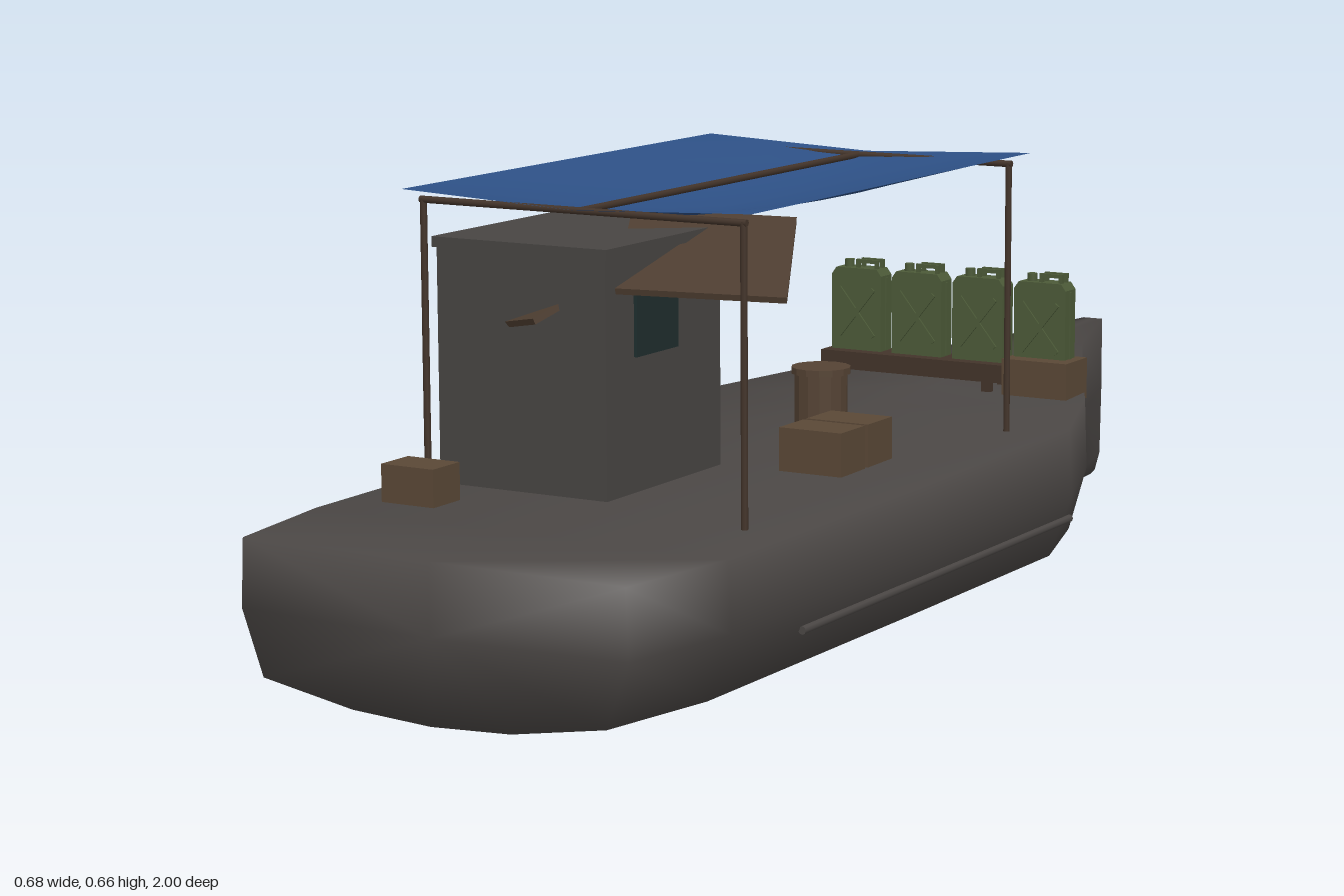
import * as THREE from 'three';

const mat = (name, color, extra = {}) => Object.assign(new THREE.MeshStandardMaterial({ color, ...extra }), { name });

export function createModel() {
  const boat = new THREE.Group();
  boat.name = 'boat';
  const hullGrey = mat('hull grey', 0x4b4745);
  const cabinGrey = mat('cabin grey', 0x484543);
  const glass = mat('dark glass', 0x1f2e2e);
  const crateWood = mat('crate wood', 0x5a4836);
  const barrelWood = mat('barrel wood', 0x554334);
  const shutterWood = mat('shutter wood', 0x4d3d30);
  const poleWood = mat('pole wood', 0x43342a);
  const canGreen = mat('can green', 0x4c5a38);
  const tarpBlue = mat('tarp blue', 0x2d5085, { side: THREE.DoubleSide });

  const add = (name, geo, material, parent = boat) => {
    const m = new THREE.Mesh(geo, material);
    m.name = name;
    parent.add(m);
    return m;
  };
  // Box given by its extents on each axis
  const box = (name, material, [x0, x1], [y0, y1], [z0, z1], parent) => {
    const m = add(name, new THREE.BoxGeometry(x1 - x0, y1 - y0, z1 - z0), material, parent);
    m.position.set((x0 + x1) / 2, (y0 + y1) / 2, (z0 + z1) / 2);
    return m;
  };
  // Round bar between two points
  const bar = (name, material, a, b, r, parent) => {
    const p = new THREE.Vector3(...a), q = new THREE.Vector3(...b);
    const m = add(name, new THREE.CylinderGeometry(r, r, p.distanceTo(q), 8), material, parent);
    m.position.copy(p).add(q).multiplyScalar(0.5);
    m.quaternion.setFromUnitVectors(new THREE.Vector3(0, 1, 0), q.sub(p).normalize());
    return m;
  };
  // Tilted board spanned by two edge vectors
  const board = (name, centre, edgeU, edgeV) => {
    const u = new THREE.Vector3(...edgeU), v = new THREE.Vector3(...edgeV);
    const m = add(name, new THREE.BoxGeometry(u.length(), v.length(), 0.009), shutterWood);
    u.normalize();
    const n = new THREE.Vector3().crossVectors(u, v).normalize();
    v.crossVectors(n, u);
    m.quaternion.setFromRotationMatrix(new THREE.Matrix4().makeBasis(u, v, n));
    m.position.set(...centre);
  };

  add('hull', hullGeometry(), hullGrey);
  for (const s of [-1, 1]) bar('rubRail', hullGrey, [s * 0.325, 0.1, 0.6], [s * 0.325, 0.1, -0.23], 0.006);

  // Cabin, roof and windows
  box('cabin', cabinGrey, [-0.28, 0], [0.23, 0.576], [0.267, 0.573]);
  box('cabinRoof', cabinGrey, [-0.285, 0.005], [0.575, 0.59], [0.262, 0.578]);
  box('rightWindow', glass, [-0.286, -0.279], [0.43, 0.53], [0.36, 0.5]);
  box('leftWindow', glass, [-0.001, 0.005], [0.43, 0.53], [0.39, 0.5]);
  box('backWindow', glass, [-0.24, -0.04], [0.43, 0.545], [0.263, 0.268]);
  board('largeShutter', [0.045, 0.5615, 0.375], [0.21, -0.012, -0.11], [-0.11, 0.077, -0.24]);
  board('smallShutter', [-0.142, 0.507, 0.479], [-0.174, -0.036, -0.092], [0.02, 0.06, -0.19]);

  // Tarp sagging between its frame
  const tarp = new THREE.PlaneGeometry(0.56, 0.83, 8, 8).rotateX(-Math.PI / 2);
  const p = tarp.attributes.position;
  for (let i = 0; i < p.count; i++) {
    const u = Math.abs(p.getX(i) / 0.28), w = p.getZ(i) / 0.415;
    p.setY(i, 0.665 - 0.012 * (1 - u) - 0.04 * (1 - u * u) * (1 - w * w));
  }
  tarp.translate(0, 0, 0.24).computeVertexNormals();
  add('tarp', tarp, tarpBlue);
  for (const z of [0.635, -0.147]) {
    for (const s of [-1, 1]) bar('tarpPole', poleWood, [s * 0.257, 0.235, z], [s * 0.257, 0.652, z], 0.005);
    bar('tarpCrossbar', poleWood, [-0.262, 0.65, z], [0.262, 0.65, z], 0.005);
  }
  bar('tarpRidge', poleWood, [0, 0.65, 0.635], [0, 0.65, -0.147], 0.005);

  // Cargo
  box('sternCrate', crateWood, [-0.273, -0.186], [0.235, 0.291], [0.66, 0.724]);
  box('deckCrate', crateWood, [0.098, 0.2], [0.235, 0.302], [0.196, 0.267]);
  box('deckCrate', crateWood, [0.098, 0.2], [0.235, 0.302], [0.113, 0.187]);
  box('bowCrate', crateWood, [0.132, 0.245], [0.245, 0.31], [-0.456, -0.38]);
  const barrelProfile = [[0, 0.235], [0.04, 0.235], [0.04, 0.343], [0.045, 0.343], [0.045, 0.353], [0, 0.353]];
  const barrel = new THREE.LatheGeometry(barrelProfile.map(([r, y]) => new THREE.Vector2(r, y)), 14).toNonIndexed();
  barrel.computeVertexNormals();
  add('barrel', barrel, barrelWood).position.set(0.041, 0, 0.042);

  // Bench carrying a row of fuel cans
  box('benchBoard', poleWood, [-0.2, 0.2], [0.268, 0.297], [-0.455, -0.388]);
  for (const x of [-0.19, 0.1]) for (const z of [-0.45, -0.393])
    box('benchLeg', poleWood, [x - 0.008, x + 0.008], [0.235, 0.27], [z - 0.005, z + 0.005]);
  for (let i = 0; i < 4; i++) {
    const can = fuelCan(box, add, canGreen);
    can.position.set(-0.147 + i * 0.11, 0.295, -0.428);
    boat.add(can);
  }
  return boat;
}

// Hull lofted through stations from stern to bow, closed at both ends
function hullGeometry() {
  // z, half width, keel height, deck height
  const stations = [
    [1, 0.303, 0.018, 0.237], [0.8, 0.334, 0.012, 0.237], [0.25, 0.338, 0.01, 0.238], [-0.21, 0.338, 0.008, 0.244],
    [-0.4, 0.273, 0.007, 0.253], [-0.6, 0.172, 0.006, 0.262], [-0.8, 0.076, 0.005, 0.271], [-1, 0.018, 0.003, 0.28],
  ];
  // Half section: fraction of width, fraction of height
  const half = [[0.41, 0.03], [0.89, 0.145], [1, 0.56], [0.985, 1]];
  const section = [[0, 0], ...half, [0, 1], ...half.map(([x, y]) => [-x, y]).reverse()];
  const n = section.length, pos = [], idx = [];
  for (const [z, w, y0, y1] of stations)
    for (const [fx, fy] of section) pos.push(fx * w, y0 + fy * (y1 - y0), z);
  for (let i = 0; i < stations.length - 1; i++)
    for (let j = 0; j < n; j++) {
      const a = i * n + j, b = i * n + (j + 1) % n, c = a + n, d = b + n;
      idx.push(a, c, b, b, c, d);
    }
  const last = (stations.length - 1) * n, mid = pos.length / 3;
  pos.push(0, 0.135, 1, 0, 0.14, -1);
  for (let j = 0; j < n; j++) {
    const k = (j + 1) % n;
    idx.push(mid, j, k, mid + 1, last + k, last + j);
  }
  const g = new THREE.BufferGeometry();
  g.setAttribute('position', new THREE.Float32BufferAttribute(pos, 3));
  g.setIndex(idx);
  g.computeVertexNormals();
  return g;
}

// Pressed can with sloped shoulders, crossed ribs, spout and handle
function fuelCan(box, add, green) {
  const can = new THREE.Group();
  can.name = 'fuelCan';
  const outline = [[-0.045, 0], [0.045, 0], [0.045, 0.125], [0.037, 0.136], [-0.037, 0.136], [-0.045, 0.125]];
  const shape = new THREE.Shape(outline.map(([x, y]) => new THREE.Vector2(x, y)));
  add('canBody', new THREE.ExtrudeGeometry(shape, { depth: 0.036, bevelEnabled: false }).translate(0, 0, -0.018), green, can);
  box('canSeam', green, [-0.047, 0.047], [0.004, 0.122], [-0.003, 0.003], can);
  for (const z of [-0.018, 0.018]) for (const s of [-1, 1]) {
    const rib = add('canRib', new THREE.BoxGeometry(0.008, 0.1, 0.006), green, can);
    rib.position.set(0, 0.064, z);
    rib.rotation.z = s * 0.68;
  }
  const spout = add('canSpout', new THREE.CylinderGeometry(0.008, 0.008, 0.014, 10), green, can);
  spout.position.set(-0.022, 0.141, 0);
  for (const z of [-0.009, 0.009]) {
    box('canHandle', green, [-0.004, 0.036], [0.144, 0.15], [z - 0.003, z + 0.003], can);
    for (const x of [-0.001, 0.033]) box('handlePost', green, [x - 0.003, x + 0.003], [0.135, 0.146], [z - 0.003, z + 0.003], can);
  }
  return can;
}
